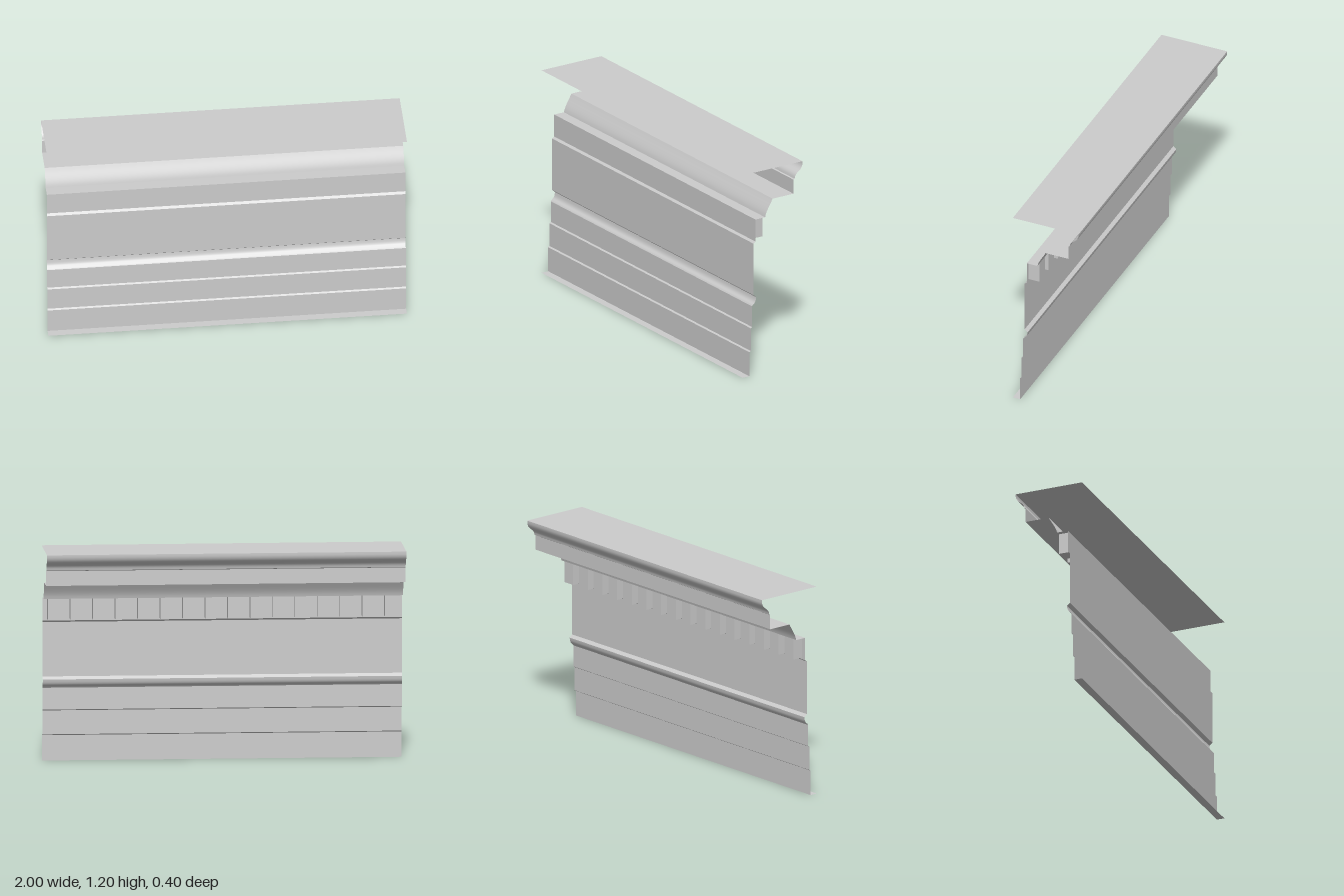
import * as THREE from 'three';
import { toCreasedNormals } from 'three/addons/utils/BufferGeometryUtils.js';

const LENGTH = 2;
const material = new THREE.MeshStandardMaterial({ color: 0xcccccc, side: THREE.DoubleSide });

// Sweeps an open [z, y] profile along x as a thin sheet
function sheet(name, profile) {
  const h = LENGTH / 2;
  const positions = [];
  for (let i = 0; i < profile.length - 1; i++) {
    const [z0, y0] = profile[i];
    const [z1, y1] = profile[i + 1];
    positions.push(-h, y0, z0, -h, y1, z1, h, y1, z1);
    positions.push(-h, y0, z0, h, y1, z1, h, y0, z0);
  }
  const geometry = new THREE.BufferGeometry();
  geometry.setAttribute('position', new THREE.Float32BufferAttribute(positions, 3));
  const mesh = new THREE.Mesh(toCreasedNormals(geometry, 0.6), material);
  mesh.name = name;
  return mesh;
}

// Curved moulding between two profile points
function curve(a, c1, c2, b, steps = 8) {
  const v = (p) => new THREE.Vector2(p[0], p[1]);
  return new THREE.CubicBezierCurve(v(a), v(c1), v(c2), v(b)).getPoints(steps).map((p) => [p.x, p.y]);
}

export function createModel() {
  const model = new THREE.Group();
  model.name = 'entablature';

  // Three stepped bands above the bottom flange
  model.add(sheet('architrave', [
    [0.2, 0], [0.155, 0], [0.155, 0.142], [0.146, 0.148],
    [0.146, 0.282], [0.137, 0.288], [0.137, 0.41],
  ]));

  // Small crown moulding with a sloped top
  model.add(sheet('architraveCrown', [
    ...curve([0.137, 0.41], [0.13, 0.425], [0.118, 0.42], [0.112, 0.445], 6),
    [0.11, 0.46], [0.128, 0.475],
  ]));

  // Plain frieze with a fine fillet and the wall behind the dentils
  model.add(sheet('frieze', [
    [0.128, 0.475], [0.128, 0.78], [0.115, 0.79], [0.115, 0.92], [0.05, 0.92],
  ]));

  // Curved bed moulding under the overhang
  model.add(sheet('bedMoulding', curve([0.05, 0.92], [0.043, 0.955], [0.018, 0.985], [0, 1.02])));

  // Overhanging soffit and fascia
  model.add(sheet('corona', [[0, 1.02], [-0.14, 1.02], [-0.14, 1.103], [-0.147, 1.107]]));

  // S-curved top moulding with its lip
  model.add(sheet('cornice', [
    ...curve([-0.147, 1.107], [-0.152, 1.15], [-0.192, 1.14], [-0.2, 1.185], 10), [-0.2, 1.2],
  ]));

  model.add(sheet('topPlate', [[-0.2, 1.2], [0.2, 1.2]]));

  // Row of dentils
  const dentils = new THREE.Group();
  dentils.name = 'dentils';
  const count = 16;
  const pitch = LENGTH / count;
  const block = new THREE.BoxGeometry(pitch * 0.6, 0.12, 0.065);
  for (let i = 0; i < count; i++) {
    const dentil = new THREE.Mesh(block, material);
    dentil.name = 'dentil';
    dentil.position.set(-LENGTH / 2 + (i + 0.5) * pitch, 0.86, 0.0825);
    dentils.add(dentil);
  }
  model.add(dentils);
  return model;
}
